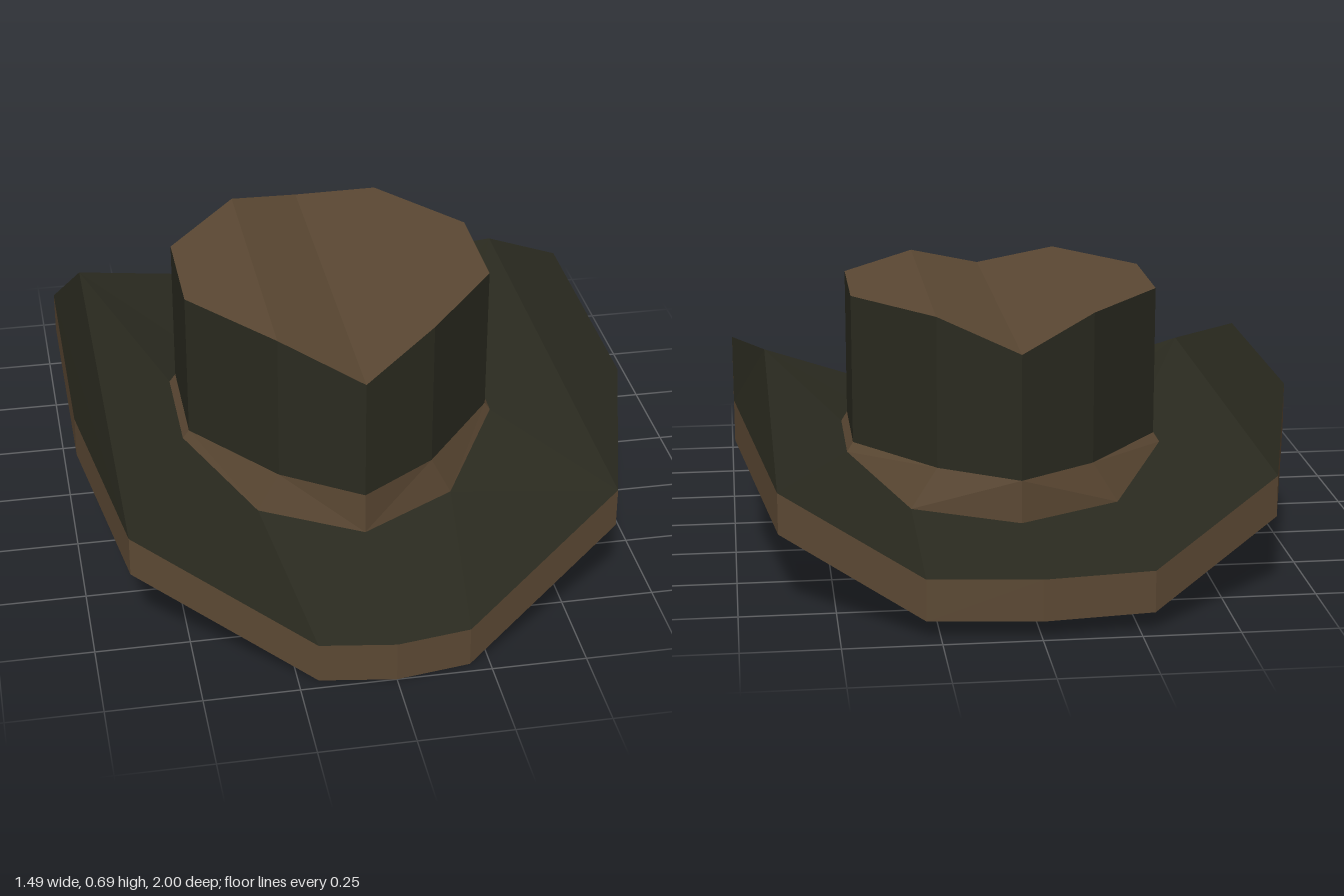
import * as THREE from 'three';

const dark = new THREE.MeshStandardMaterial({ color: 0x2b2b20 });
dark.name = 'dark olive felt';
const brown = new THREE.MeshStandardMaterial({ color: 0x5b4833 });
brown.name = 'brown trim';

// Flat-faced mesh from triangles of the +x half, mirrored to -x
function halfMesh(name, material, triangles) {
  const positions = [];
  for (const [a, b, c] of triangles) {
    positions.push(...a, ...b, ...c);
    for (const p of [a, c, b]) positions.push(-p[0], p[1], p[2]);
  }
  const geometry = new THREE.BufferGeometry();
  geometry.setAttribute('position', new THREE.Float32BufferAttribute(positions, 3));
  geometry.computeVertexNormals();
  const mesh = new THREE.Mesh(geometry, material);
  mesh.name = name;
  return mesh;
}

// Wall between two outlines that run from front to back, facing outward
function wall(lower, upper) {
  const triangles = [];
  for (let i = 0; i < lower.length - 1; i++) {
    triangles.push([lower[i], lower[i + 1], upper[i + 1]], [lower[i], upper[i + 1], upper[i]]);
  }
  return triangles;
}

// Six-point half outline filled with front-to-back strips, facing up
const cap = (r) => [
  [r[0], r[1], r[4]], [r[0], r[4], r[5]], [r[1], r[2], r[3]], [r[1], r[3], r[4]],
];

const flip = (triangles) => triangles.map(([a, b, c]) => [a, c, b]);
const atHeight = (ring, y, scale = 1) => ring.map(([x, , z]) => [x * scale, y, z * scale]);

export function createModel() {
  const hat = new THREE.Group();
  hat.name = 'hat';

  // Half outlines, front centre to back centre
  const brimLow = [
    [0, 0, 1], [0.198, 0, 0.97], [0.645, 0.212, 0.72], [0.743, 0.35, 0.34],
    [0.743, 0.35, -0.35], [0.643, 0.212, -0.735], [0.287, 0.05, -0.967], [0, 0.05, -1],
  ];
  const brimHigh = brimLow.map(([x, y, z]) => [x, y + 0.11, z]);
  const base = [
    [0, 0.16, 0.563], [0.267, 0.16, 0.41], [0.437, 0.25, 0.15],
    [0.437, 0.25, -0.16], [0.28, 0.16, -0.41], [0, 0.16, -0.563],
  ];
  const opening = [
    [0, 0.14, 0.42], [0.205, 0.14, 0.42], [0.4, 0.14, 0.155],
    [0.4, 0.14, -0.155], [0.205, 0.14, -0.42], [0, 0.14, -0.42],
  ];
  const crownTop = [
    [0, 0.617, 0.56], [0.21, 0.69, 0.42], [0.42, 0.69, 0.155],
    [0.42, 0.69, -0.155], [0.21, 0.69, -0.42], [0, 0.617, -0.56],
  ];
  const crownFoot = atHeight(crownTop, 0.276);

  // Brim surface: sloping ring with upturned side flaps
  const brimFaces = (o, i) => [
    [o[0], o[1], i[0]], [o[1], i[1], i[0]], [o[1], o[2], i[1]], [o[2], i[2], i[1]],
    [o[2], i[3], i[2]], [o[2], o[5], i[3]], [o[2], o[3], o[4]], [o[2], o[4], o[5]],
    [o[6], o[7], i[5]], [o[6], i[5], i[4]],
  ];
  // Back corner of the brim, folded one way above and the other way below
  const [, , , , , sideHigh, backHigh] = brimHigh;
  const [, , , , , sideLow, backLow] = brimLow;
  hat.add(halfMesh('brimTop', dark, [
    ...brimFaces(brimHigh, base),
    [sideHigh, backHigh, base[4]], [sideHigh, base[4], base[3]],
  ]));
  hat.add(halfMesh('brimUnderside', dark, flip([
    ...brimFaces(brimLow, opening),
    [sideLow, backLow, opening[3]], [backLow, opening[4], opening[3]],
  ])));
  hat.add(halfMesh('brimEdge', brown, wall(brimLow, brimHigh)));

  // Crown with creased top and a flared band
  hat.add(halfMesh('band', brown, wall(base, crownFoot)));
  hat.add(halfMesh('crownWall', dark, wall(crownFoot, crownTop)));
  hat.add(halfMesh('crownTop', brown, cap(crownTop)));

  // Tapered hollow for the head
  const hollowTop = atHeight(opening, 0.39, 0.8);
  hat.add(halfMesh('hollowWall', dark, flip(wall(opening, hollowTop))));
  hat.add(halfMesh('hollowCeiling', dark, flip(cap(hollowTop))));
  return hat;
}
